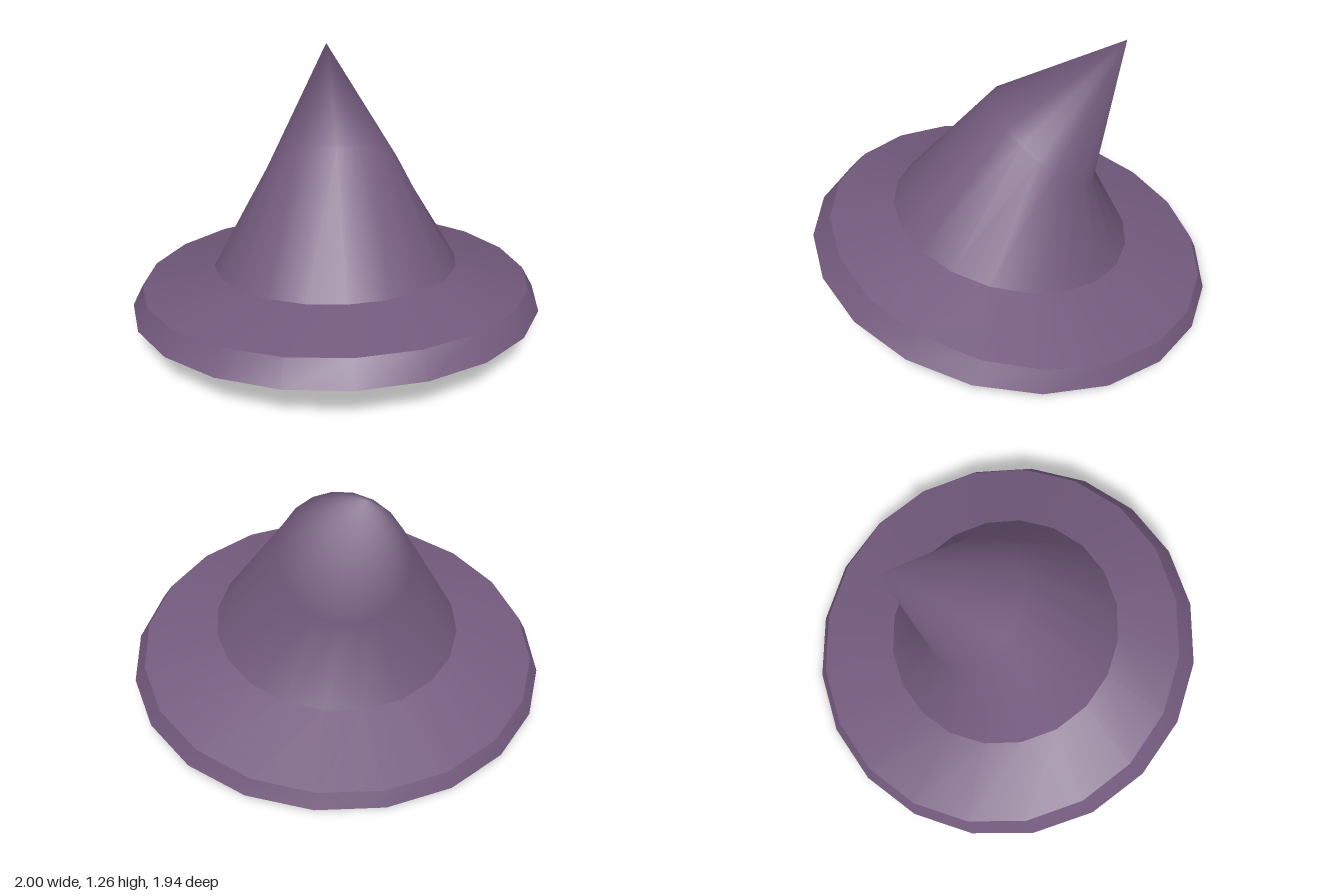
import * as THREE from 'three';

const SIDES = 20;

// Tilted rings: rx, rz, centre z, centre y, rise towards the front, bow
const rimLower = { rx: 1.0, rz: 0.97, z: 0, y: 0.13, rise: 0.15, bow: 0.02 };
const rimUpper = { rx: 0.95, rz: 0.91, z: -0.03, y: 0.22, rise: 0.165, bow: 0.015 };
const crownBase = { rx: 0.59, rz: 0.57, z: 0, y: 0.338, rise: 0.118, bow: 0 };
const brimInner = { rx: 0.645, rz: 0.63, z: 0, y: 0.265, rise: 0.115, bow: 0.005 };
const crownBend = { rx: 0.315, rz: 0.243, z: -0.152, y: 0.785, rise: 0.21, bow: 0 };
const tip = [0, 1.265, -0.525];

// Smooth skin through a list of rings, optionally closed to a point
function loft(rings, apex) {
  const pos = [];
  const index = [];
  for (const r of rings) {
    for (let i = 0; i < SIDES; i++) {
      const a = (i / SIDES) * Math.PI * 2;
      const s = Math.sin(a);
      pos.push(r.rx * Math.cos(a), r.y + r.rise * s + r.bow * s * s, r.z + r.rz * s);
    }
  }
  if (apex) pos.push(...apex);
  rings.forEach((ring, k) => {
    const last = k === rings.length - 1;
    for (let i = 0; i < SIDES; i++) {
      const a = k * SIDES + i;
      const b = k * SIDES + ((i + 1) % SIDES);
      if (!last) index.push(a, a + SIDES, b, b, a + SIDES, b + SIDES);
      else if (apex) index.push(a, rings.length * SIDES, b);
    }
  });
  const geo = new THREE.BufferGeometry();
  geo.setAttribute('position', new THREE.Float32BufferAttribute(pos, 3));
  geo.setIndex(index);
  geo.computeVertexNormals();
  return geo;
}

export function createModel() {
  const hat = new THREE.Group();
  hat.name = 'pointedHat';
  const felt = new THREE.MeshStandardMaterial({ color: 0x735a7d, side: THREE.DoubleSide });

  const add = (name, rings, apex) => {
    const mesh = new THREE.Mesh(loft(rings, apex), felt);
    mesh.name = name;
    hat.add(mesh);
  };

  // Crown, bent backwards to its tip and open below
  add('crown', [crownBase, crownBend], tip);

  // Brim: separate bands keep its edges sharp
  add('brimTop', [rimUpper, crownBase]);
  add('brimEdge', [rimLower, rimUpper]);
  add('brimUnderside', [brimInner, rimLower]);
  add('brimInnerWall', [crownBase, brimInner]);

  return hat;
}
